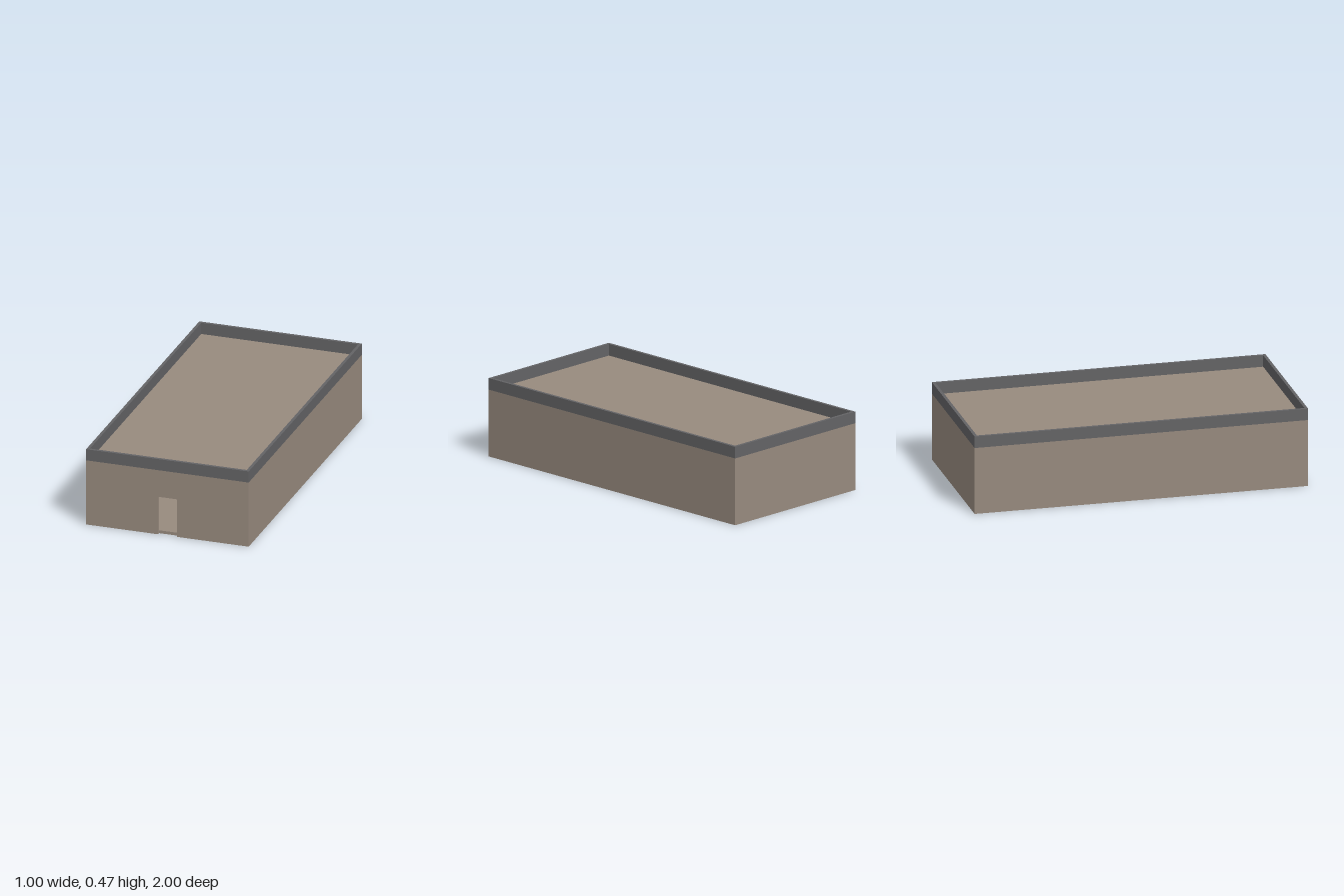
import * as THREE from 'three';

const W = 1, L = 2;             // footprint
const T = 0.018;                // wall and slab thickness
const WALL_H = 0.405, TOP = 0.475;
const DOOR_W = 0.116, DOOR_H = 0.237;

export function createModel() {
  const wallMat = new THREE.MeshStandardMaterial({ name: 'taupe wall', color: 0x978a7e });
  const trimMat = new THREE.MeshStandardMaterial({ name: 'dark grey parapet', color: 0x636365 });
  const model = new THREE.Group();
  model.name = 'building';

  const add = (name, geometry, material, x = 0, y = 0, z = 0) => {
    const mesh = new THREE.Mesh(geometry, material);
    mesh.name = name;
    mesh.position.set(x, y, z);
    model.add(mesh);
    return mesh;
  };

  // Front wall with the doorway cut through to the ground
  const d = DOOR_W / 2;
  const front = new THREE.Shape([
    [-W / 2, 0], [-d, 0], [-d, DOOR_H], [d, DOOR_H],
    [d, 0], [W / 2, 0], [W / 2, WALL_H], [-W / 2, WALL_H],
  ].map(([x, y]) => new THREE.Vector2(x, y)));
  add('frontWall', new THREE.ExtrudeGeometry(front, { depth: T, bevelEnabled: false }),
    wallMat, 0, 0, L / 2 - T);

  // Back and side walls
  add('backWall', new THREE.BoxGeometry(W, WALL_H, T), wallMat, 0, WALL_H / 2, -L / 2 + T / 2);
  for (const [name, s] of [['leftWall', 1], ['rightWall', -1]]) {
    add(name, new THREE.BoxGeometry(T, WALL_H, L - 2 * T), wallMat, s * (W - T) / 2, WALL_H / 2, 0);
  }

  // Floor and flat roof slabs fitted between the walls
  const slab = new THREE.BoxGeometry(W - 2 * T, T, L - 2 * T);
  add('floor', slab, wallMat, 0, T / 2, 0);
  add('roof', slab, wallMat, 0, WALL_H - T / 2, 0);

  // Parapet ring around the roof
  const rect = (w, l) => [[-w, -l], [w, -l], [w, l], [-w, l]]
    .map(([x, y]) => new THREE.Vector2(x / 2, y / 2));
  const ring = new THREE.Shape(rect(W, L));
  ring.holes.push(new THREE.Path(rect(W - 2 * T, L - 2 * T).reverse()));
  const parapet = new THREE.ExtrudeGeometry(ring, { depth: TOP - WALL_H, bevelEnabled: false });
  parapet.rotateX(-Math.PI / 2);
  add('parapet', parapet, trimMat, 0, WALL_H, 0);

  return model;
}
